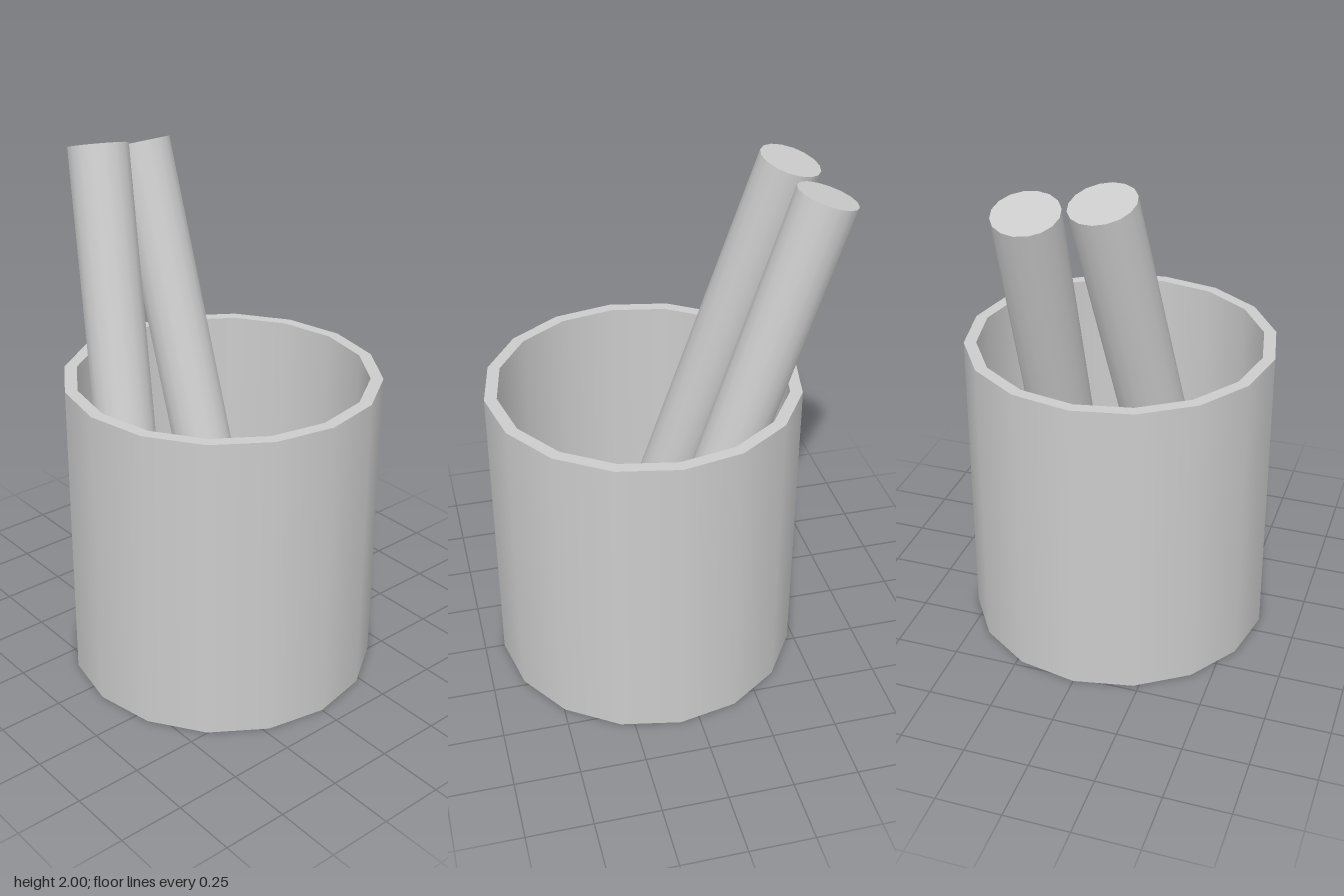
import * as THREE from 'three';
import { mergeGeometries } from 'three/addons/utils/BufferGeometryUtils.js';

const SIDES = 16;
const material = new THREE.MeshStandardMaterial({ color: 0xcccccc });

// Turns a profile into a solid that is smooth around but sharp between bands
function turned(profile) {
  const bands = [];
  for (let i = 0; i < profile.length - 1; i++) {
    const pair = [profile[i], profile[i + 1]].map(([r, y]) => new THREE.Vector2(r, y));
    bands.push(new THREE.LatheGeometry(pair, SIDES));
  }
  return mergeGeometries(bands);
}

// Straight round rod between two centre points
function rod(name, bottom, top, radius) {
  const a = new THREE.Vector3(...bottom);
  const axis = new THREE.Vector3(...top).sub(a);
  const mesh = new THREE.Mesh(new THREE.CylinderGeometry(radius, radius, axis.length(), SIDES), material);
  mesh.name = name;
  mesh.position.copy(a).addScaledVector(axis, 0.5);
  mesh.quaternion.setFromUnitVectors(new THREE.Vector3(0, 1, 0), axis.normalize());
  return mesh;
}

export function createModel() {
  const group = new THREE.Group();
  group.name = 'cupWithRods';

  // Hollow cup: underside, outer wall, rim, inner wall, raised floor
  const R = 0.597, r = 0.55, height = 1.2, floor = 0.38;
  const cup = new THREE.Mesh(
    turned([[0, 0], [R, 0], [R, height], [r, height], [r, floor], [0, floor]]), material);
  cup.name = 'cup';
  cup.position.z = 0.075;
  group.add(cup);

  // Two rods leaning towards the back
  group.add(rod('leftRod', [0.117, 0.34, -0.045], [0.117, 1.925, -0.565], 0.117));
  group.add(rod('rightRod', [-0.321, 0.34, -0.037], [-0.123, 1.965, -0.505], 0.117));
  return group;
}
